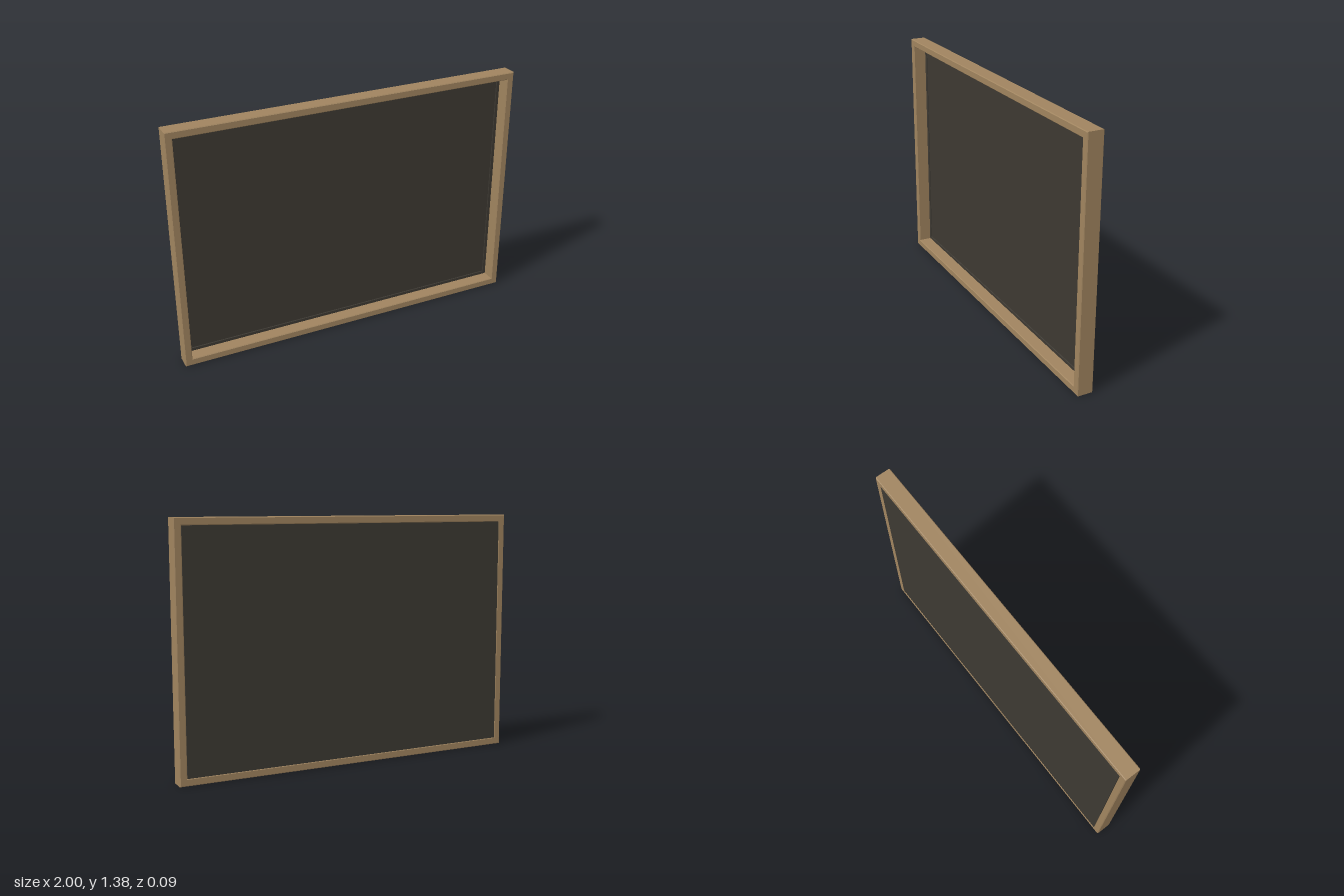
import * as THREE from 'three';

const W = 2, H = 1.375, D = 0.09; // overall size
const RAIL = 0.04; // width of the wooden rails
const LIP = 0.02; // width of the inner lip

// Rectangle centred on the origin
function rect(Type, w, h) {
  const p = new Type();
  p.moveTo(-w / 2, -h / 2);
  p.lineTo(w / 2, -h / 2);
  p.lineTo(w / 2, h / 2);
  p.lineTo(-w / 2, h / 2);
  p.closePath();
  return p;
}

// Rectangular ring with chamfered edges, spanning z0 to z1
function ring(w, h, border, z0, z1, bevel) {
  const shape = rect(THREE.Shape, w, h);
  shape.holes.push(rect(THREE.Path, w - 2 * border, h - 2 * border));
  const geometry = new THREE.ExtrudeGeometry(shape, {
    depth: z1 - z0 - 2 * bevel,
    bevelEnabled: true,
    bevelSize: bevel,
    bevelThickness: bevel,
    bevelOffset: -bevel,
    bevelSegments: 1,
  });
  return geometry.translate(0, H / 2, z0 + bevel);
}

export function createModel() {
  const group = new THREE.Group();
  group.name = 'framedBoard';
  const wood = new THREE.MeshStandardMaterial({ color: 0xa0845f });
  const dark = new THREE.MeshStandardMaterial({ color: 0x3d3932 });

  const add = (name, geometry, material) => {
    const mesh = new THREE.Mesh(geometry, material);
    mesh.name = name;
    group.add(mesh);
  };

  // Deep wooden frame
  add('frame', ring(W, H, RAIL, -D / 2, D / 2, 0.004), wood);

  // Board set into the back of the frame, flush with its rear face
  const w = W - 2 * RAIL, h = H - 2 * RAIL;
  const board = new THREE.BoxGeometry(w, h, 0.013);
  add('board', board.translate(0, H / 2, -D / 2 + 0.0065), dark);

  // Narrow raised lip round the board
  add('boardLip', ring(w, h, LIP, -0.036, -0.027, 0.002), dark);

  return group;
}
